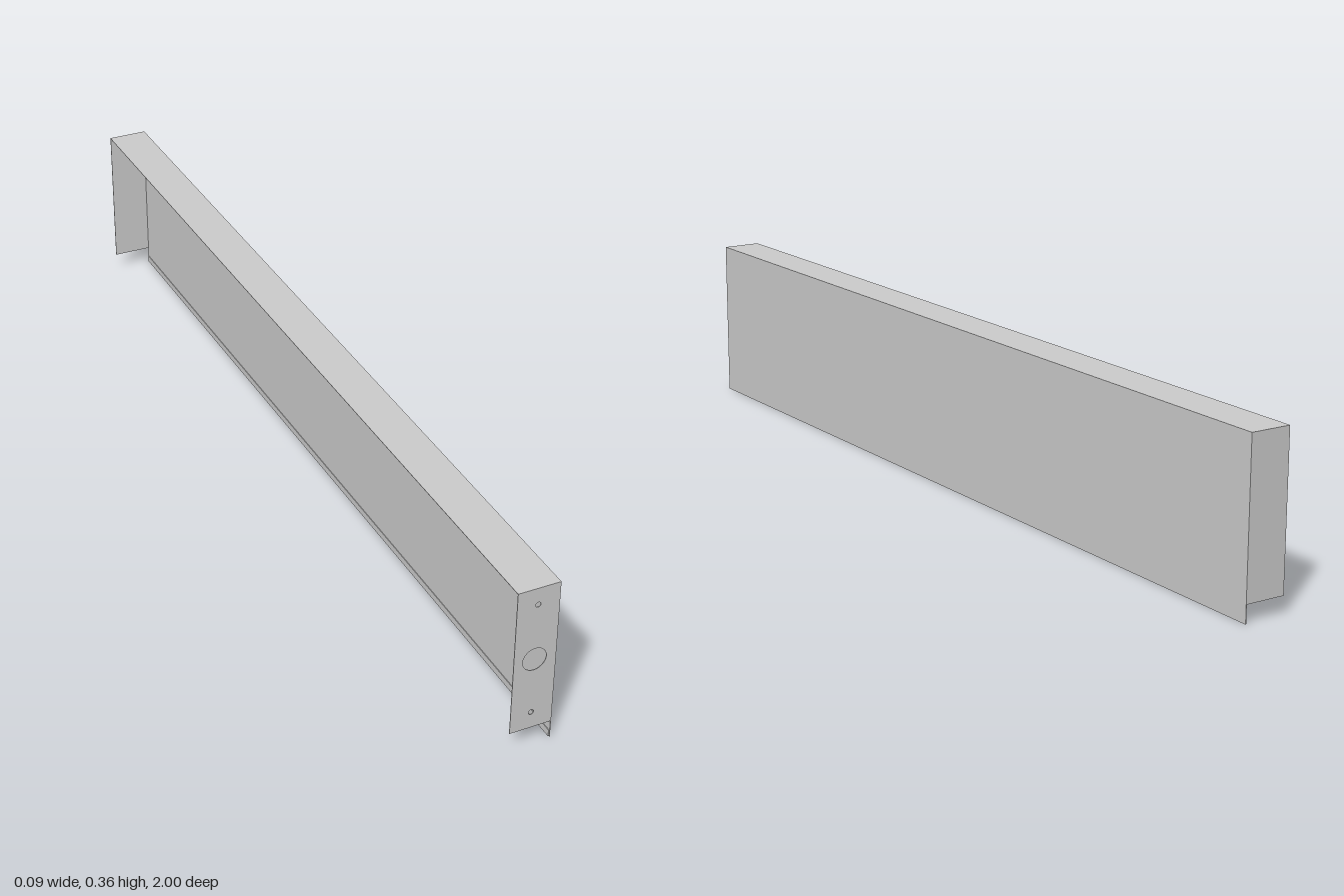
import * as THREE from 'three';

const W = 0.044, H = 0.36, L = 1, T = 0.0015; // half width, height, half length, sheet thickness
const PLATE_BOTTOM = 0.038;

export function createModel() {
  const group = new THREE.Group();
  const material = new THREE.MeshStandardMaterial({ color: 0xcccccc });

  const add = (name, geometry) => {
    const mesh = new THREE.Mesh(geometry, material);
    mesh.name = name;
    group.add(mesh);
  };
  // Box given by its minimum and maximum corners
  const sheet = (name, [x0, y0, z0], [x1, y1, z1]) => add(name,
    new THREE.BoxGeometry(x1 - x0, y1 - y0, z1 - z0)
      .translate((x0 + x1) / 2, (y0 + y1) / 2, (z0 + z1) / 2));

  // Long side panel and top flange
  sheet('sidePanel', [W - T, 0, -L], [W, H, L]);
  sheet('topFlange', [-W, H - T, -L], [W - T, H, L]);

  // Narrow hem folded up inside the panel's lower edge
  sheet('bottomHem', [W - 2 * T, 0, -L + T], [W - T, 0.015, L - T]);

  // Closed end plate at the back
  sheet('backEndPlate', [-W, PLATE_BOTTOM, -L], [W - T, H - T, -L + T]);

  // Front end plate with one large hole between two screw holes
  const plate = new THREE.Shape([
    new THREE.Vector2(-W, PLATE_BOTTOM), new THREE.Vector2(W - T, PLATE_BOTTOM),
    new THREE.Vector2(W - T, H - T), new THREE.Vector2(-W, H - T),
  ]);
  for (const [y, r] of [[0.075, 0.0055], [0.199, 0.0245], [0.323, 0.0055]]) {
    plate.holes.push(new THREE.Path().absarc(-0.001, y, r, 0, Math.PI * 2, true));
  }
  add('frontEndPlate', new THREE.ExtrudeGeometry(plate, {
    depth: T, bevelEnabled: false, curveSegments: 32,
  }).translate(0, 0, L - T));

  return group;
}
